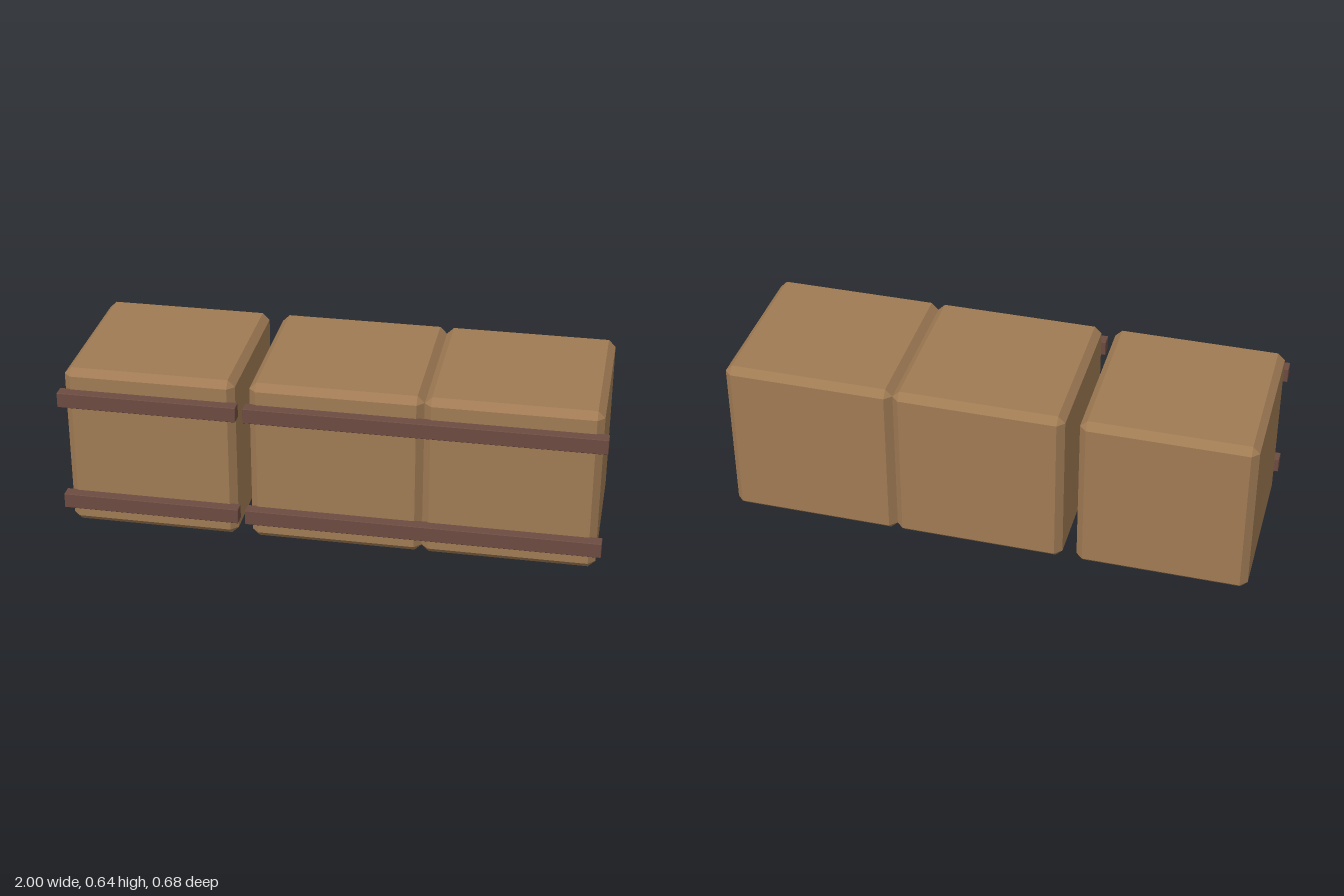
import * as THREE from 'three';
import { ConvexGeometry } from 'three/addons/geometries/ConvexGeometry.js';

// Box with every edge and corner cut flat by c
function chamferedBox(w, h, d, c) {
  const points = [];
  for (const sx of [-1, 1]) for (const sy of [-1, 1]) for (const sz of [-1, 1]) {
    const x = w / 2, y = h / 2, z = d / 2;
    points.push(
      new THREE.Vector3(sx * x, sy * (y - c), sz * (z - c)),
      new THREE.Vector3(sx * (x - c), sy * y, sz * (z - c)),
      new THREE.Vector3(sx * (x - c), sy * (y - c), sz * z)
    );
  }
  return new ConvexGeometry(points);
}

export function createModel() {
  const group = new THREE.Group();
  group.name = 'crateRow';
  const crateWood = new THREE.MeshStandardMaterial({ color: 0xa07b54 });
  crateWood.name = 'crate wood';
  const railWood = new THREE.MeshStandardMaterial({ color: 0x6d4c41 });
  railWood.name = 'dark rail wood';

  const add = (name, geometry, material, x, y, z) => {
    const mesh = new THREE.Mesh(geometry, material);
    mesh.name = name;
    mesh.position.set(x, y, z);
    group.add(mesh);
  };

  // Three crates: one apart, two touching
  const size = 0.637;
  const crate = chamferedBox(size, size, size, 0.026);
  [['rightCrate', -0.666], ['middleCrate', 0.024], ['leftCrate', 0.661]].forEach(([name, x]) =>
    add(name, crate, crateWood, x, size / 2 + 0.001, -0.0195));

  // Lower and upper rails across the front
  for (const [level, y] of [['lower', 0.109], ['upper', 0.531]]) {
    for (const [name, x0, x1] of [['ShortRail', -1, -0.334], ['LongRail', -0.308, 1]]) {
      add(level + name, chamferedBox(x1 - x0, 0.058, 0.046, 0.002), railWood, (x0 + x1) / 2, y, 0.315);
    }
  }
  return group;
}
